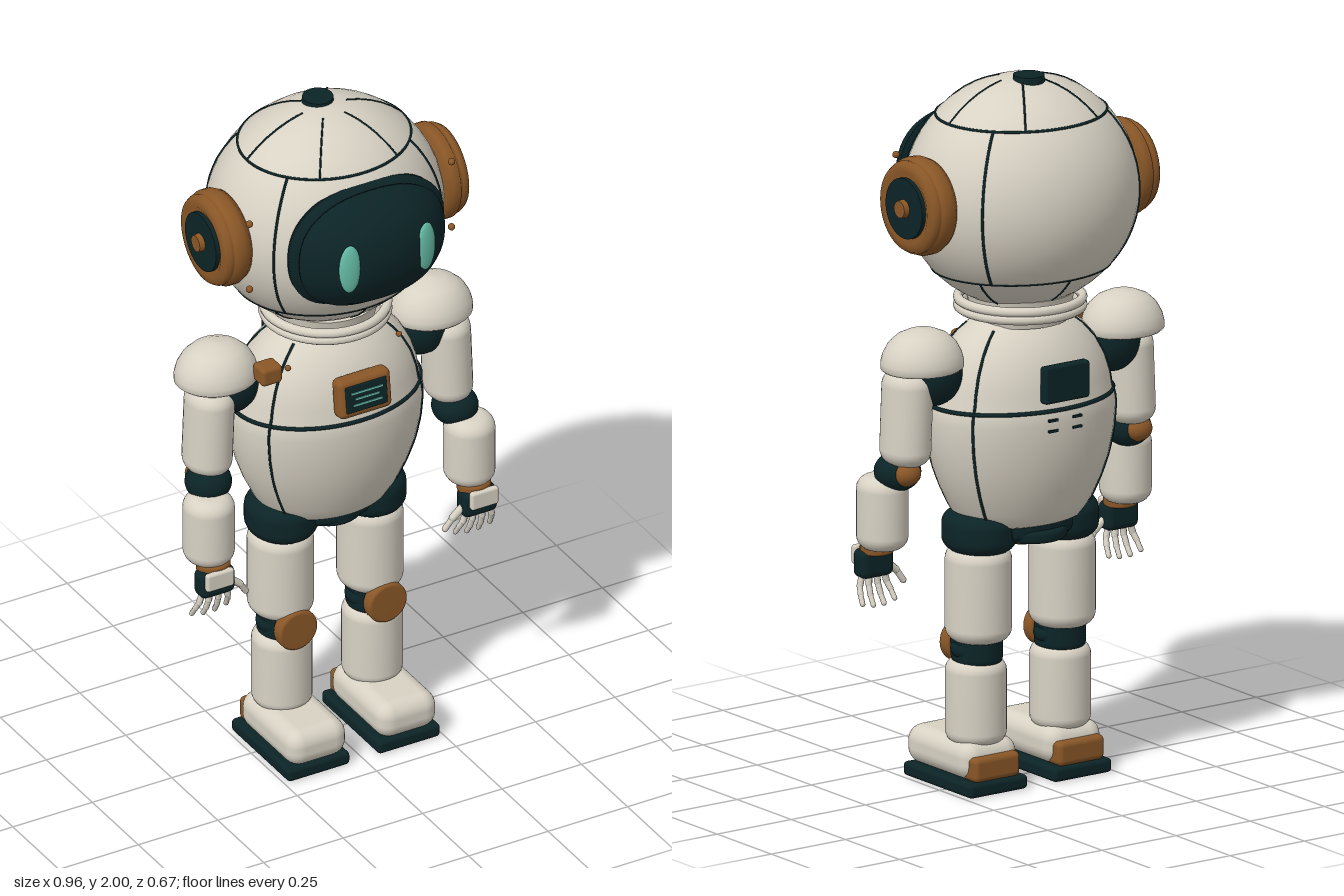
import * as THREE from 'three';
import { RoundedBoxGeometry } from 'three/addons/geometries/RoundedBoxGeometry.js';

const paint = (name, color) => {
  const m = new THREE.MeshStandardMaterial({ color });
  m.name = name;
  return m;
};

export function createModel() {
  const cream = paint('cream shell', 0xd8d2c4);
  const dark = paint('dark teal', 0x0c2427);
  const bronze = paint('bronze', 0x8a5727);
  const mint = paint('mint glow', 0x66bda8);
  const root = new THREE.Group();
  root.name = 'robot';

  const add = (name, geo, mat, x = 0, y = 0, z = 0, parent = root) => {
    const m = new THREE.Mesh(geo, mat);
    m.name = name;
    m.position.set(x, y, z);
    parent.add(m);
    return m;
  };
  const group = (name) => {
    const g = new THREE.Group();
    g.name = name;
    root.add(g);
    return g;
  };
  const v2 = (list) => list.map(([x, y]) => new THREE.Vector2(x, y));
  const lathe = (list, depth = 1, sides = 40) =>
    new THREE.LatheGeometry(v2(list), sides).scale(1, 1, depth);
  const rbox = (w, h, d, r) => new RoundedBoxGeometry(w, h, d, 3, r);
  const ball = (rx, ry, rz) => new THREE.SphereGeometry(1, 28, 18).scale(rx, ry, rz);

  // Cylinder with rounded ends, oval in plan
  const barrel = (rx, rz, h, c) => {
    const pts = [[0, -h / 2]];
    for (let i = 0; i <= 6; i++) {
      const a = (i / 6) * Math.PI / 2;
      pts.push([rx - c + c * Math.sin(a), -h / 2 + c - c * Math.cos(a)]);
    }
    for (const [r, y] of pts.slice().reverse()) pts.push([r, -y]);
    return lathe(pts, rz / rx, 32);
  };
  // Rounded rod between two points
  const rod = (name, a, b, r, mat, parent) => {
    const p = new THREE.Vector3(...a), q = new THREE.Vector3(...b);
    const d = q.clone().sub(p);
    const m = add(name, new THREE.CapsuleGeometry(r, d.length(), 4, 8), mat, 0, 0, 0, parent);
    m.position.copy(p).add(q).multiplyScalar(0.5);
    m.quaternion.setFromUnitVectors(new THREE.Vector3(0, 1, 0), d.normalize());
  };
  // Radius of a lathe profile at a given height
  const radiusAt = (prof, y) => {
    for (let i = 1; i < prof.length; i++) {
      const [r0, y0] = prof[i - 1], [r1, y1] = prof[i];
      if (y >= y0 && y <= y1 && y1 > y0) return r0 + (r1 - r0) * (y - y0) / (y1 - y0);
    }
    return 0;
  };
  // Thin panel line running up a shell at an angle, or around it at a height
  const surface = (prof, depth, zc, zMax) => (a, y) => {
    const r = radiusAt(prof, y);
    return new THREE.Vector3(r * Math.cos(a), y, Math.min(zMax, zc + r * depth * Math.sin(a)));
  };
  const upSeam = (at, deg, y0, y1, r, parent) => {
    const pts = [];
    for (let i = 0; i <= 20; i++) pts.push(at(deg * Math.PI / 180, y0 + (y1 - y0) * i / 20));
    add('panelSeam', new THREE.TubeGeometry(new THREE.CatmullRomCurve3(pts), 32, r, 5), dark, 0, 0, 0, parent);
  };
  const ringSeam = (at, y, r, parent) => {
    const pts = [];
    for (let i = 0; i < 48; i++) pts.push(at(i / 48 * Math.PI * 2, y));
    add('ringSeam', new THREE.TubeGeometry(new THREE.CatmullRomCurve3(pts, true), 96, r, 5, true), dark, 0, 0, 0, parent);
  };

  // Head shell, flattened where the visor sits
  const head = group('head');
  const headProf = [];
  for (let i = 0; i <= 28; i++) {
    const a = -Math.PI / 2 + Math.PI * i / 28;
    headProf.push([0.336 * Math.cos(a), 1.665 + (a < 0 ? 0.318 : 0.327) * Math.sin(a)]);
  }
  const headGeo = lathe(headProf, 0.885, 56).translate(0, 0, -0.035);
  const hp = headGeo.attributes.position;
  for (let i = 0; i < hp.count; i++) hp.setZ(i, Math.min(hp.getZ(i), 0.202));
  add('headShell', headGeo, cream, 0, 0, 0, head);
  const onHead = surface(headProf, 0.885, -0.035, 0.202);
  ringSeam(onHead, 1.89, 0.004, head);
  ringSeam(onHead, 1.46, 0.003, head);
  for (const d of [38, 142, 218, 322]) upSeam(onHead, d, 1.46, 1.89, 0.004, head);
  for (const d of [0, 60, 120, 180, 240, 300]) upSeam(onHead, d, 1.89, 1.985, 0.003, head);
  for (const d of [30, 90, 150, 210, 270, 330]) upSeam(onHead, d, 1.365, 1.46, 0.003, head);
  add('crownButton', new THREE.CylinderGeometry(0.043, 0.045, 0.03, 24), dark, 0, 1.985, -0.07, head);

  // Visor: oval lathe squared off slightly, facing forward
  const visorGeo = lathe([[0, 0.18], [0.24, 0.18], [0.243, 0.198], [0.205, 0.212], [0.2, 0.218],
    [0.224, 0.215], [0.227, 0.225], [0.218, 0.245], [0.19, 0.276], [0.15, 0.303], [0.1, 0.322],
    [0.05, 0.331], [0, 0.333]], 1, 56).rotateX(Math.PI / 2);
  const vp = visorGeo.attributes.position;
  for (let i = 0; i < vp.count; i++) {
    const x = vp.getX(i), y = vp.getY(i), r = Math.hypot(x, y) || 1;
    const k = (Math.abs(x / r) ** 2.4 + Math.abs(y / r) ** 2.4) ** (-1 / 2.4);
    vp.setXY(i, x * k, y * k * 0.76);
  }
  visorGeo.computeVertexNormals();
  add('visor', visorGeo, dark, 0, 1.683, 0, head);

  for (const s of [1, -1]) {
    add('eye', ball(0.031, 0.075, 0.013), mint, s * 0.12, 1.688, 0.312, head).rotation.y = s * 0.2;
    // Ear discs
    const ear = new THREE.Group();
    ear.name = 'ear';
    ear.position.set(s * 0.3, 1.675, -0.03);
    ear.rotation.z = -s * Math.PI / 2;
    head.add(ear);
    add('earRing', lathe([[0, 0], [0.125, 0], [0.137, 0.025], [0.137, 0.05], [0.128, 0.056], [0.128, 0.062],
      [0.13, 0.07], [0.122, 0.083], [0.1, 0.087], [0.088, 0.08], [0, 0.08]]), bronze, 0, 0, 0, ear);
    add('earPlate', new THREE.CylinderGeometry(0.085, 0.085, 0.02, 32), dark, 0, 0.082, 0, ear);
    add('earKnob', new THREE.CylinderGeometry(0.024, 0.028, 0.03, 16), bronze, 0, 0.093, 0, ear);
    for (const y of [1.785, 1.575]) add('headBolt', ball(0.01, 0.01, 0.01), bronze, s * 0.318, y, 0.108, head);
  }

  // Neck
  add('neck', new THREE.CylinderGeometry(0.15, 0.13, 0.08, 32), cream, 0, 1.345, -0.03);
  for (const y of [1.364, 1.342])
    add('neckRing', new THREE.TorusGeometry(0.17, 0.0135, 10, 48).rotateX(Math.PI / 2), cream, 0, y, -0.03);

  // Torso shell with panel lines
  const torso = group('torso');
  const torsoProf = [[0, 0.74], [0.16, 0.74], [0.185, 0.75], [0.213, 0.79], [0.242, 0.85], [0.264, 0.91],
    [0.279, 0.98], [0.285, 1.05], [0.28, 1.085], [0.273, 1.095], [0.266, 1.14], [0.25, 1.19],
    [0.222, 1.24], [0.185, 1.28], [0.145, 1.31], [0.1, 1.33], [0, 1.335]];
  add('torsoShell', lathe(torsoProf, 0.737, 56), cream, 0, 0, -0.03, torso);
  const onTorso = surface(torsoProf, 0.737, -0.03, 1);
  ringSeam(onTorso, 1.09, 0.006, torso);
  for (const d of [32, 148, 212, 328]) upSeam(onTorso, d, 0.76, 1.3, 0.004, torso);

  // Chest display
  const chest = new THREE.Group();
  chest.name = 'chestDisplay';
  chest.position.set(0, 1.178, 0.17);
  chest.rotation.x = -0.12;
  torso.add(chest);
  add('displayFrame', rbox(0.166, 0.118, 0.05, 0.018), bronze, 0, 0, 0, chest);
  add('displayScreen', rbox(0.13, 0.08, 0.008, 0.004), dark, 0, 0, 0.025, chest);
  [[0.018, 0.1], [0, 0.075], [-0.018, 0.09]].forEach(([y, w]) =>
    add('displayLine', new THREE.BoxGeometry(w, 0.005, 0.003), mint, 0, y, 0.03, chest));
  add('shoulderLamp', rbox(0.065, 0.055, 0.06, 0.012), bronze, -0.233, 1.255, 0.06, torso);
  for (const s of [1, -1]) add('chestBolt', ball(0.008, 0.008, 0.008), bronze, s * 0.175, 1.255, 0.07, torso);

  // Back panel and vents
  add('backPanel', rbox(0.15, 0.105, 0.03, 0.008), dark, 0, 1.168, -0.237, torso);
  for (const x of [-0.04, 0.04])
    for (const y of [1.035, 1.065]) add('backVent', new THREE.BoxGeometry(0.03, 0.007, 0.008), dark, x, y, -0.238, torso);

  // Pelvis
  add('pelvis', barrel(0.16, 0.12, 0.06, 0.02), dark, 0, 0.735, -0.04);
  add('pelvisDisc', barrel(0.11, 0.13, 0.035, 0.012), dark, 0, 0.715, -0.05);
  add('pelvisPlug', new THREE.CylinderGeometry(0.07, 0.06, 0.05, 24), bronze, 0, 0.705, -0.04);

  for (const s of [1, -1]) {
    // Arm
    const arm = group(s > 0 ? 'leftArm' : 'rightArm');
    add('shoulderCap', lathe([[0, 1.215], [0.11, 1.215], [0.118, 1.222], [0.118, 1.24], [0.112, 1.263],
      [0.097, 1.29], [0.073, 1.312], [0.04, 1.326], [0, 1.33]], 0.9), cream, s * 0.338, 0, -0.04, arm);
    add('shoulderJoint', ball(0.085, 0.09, 0.08), dark, s * 0.3, 1.195, -0.035, arm);
    add('upperArm', barrel(0.067, 0.078, 0.27, 0.045), cream, s * 0.375, 1.08, -0.018, arm).rotation.z = s * 0.04;
    add('elbow', ball(0.065, 0.055, 0.065), dark, s * 0.388, 0.925, 0.005, arm);
    add('elbowCap', ball(0.04, 0.035, 0.035), bronze, s * 0.39, 0.928, -0.042, arm);
    add('forearm', barrel(0.071, 0.074, 0.21, 0.04), cream, s * 0.41, 0.805, 0.045, arm);
    add('wristRing', barrel(0.048, 0.045, 0.03, 0.008), bronze, s * 0.41, 0.698, 0.07, arm);
    add('palm', rbox(0.108, 0.082, 0.06, 0.02), dark, s * 0.413, 0.656, 0.082, arm);
    add('handPlate', rbox(0.086, 0.055, 0.02, 0.008), cream, s * 0.416, 0.675, 0.115, arm);
    // Fingers of three segments, thumb pointing inward
    for (let i = 0; i < 4; i++) {
      const x = 0.379 + i * 0.024, f = (i - 1.5) * 0.006, drop = i === 0 || i === 3 ? 0.008 : 0;
      const path = [[x, 0.625, 0.082], [x + f, 0.595, 0.08], [x + 1.6 * f, 0.567 + drop, 0.07], [x + 2 * f, 0.542 + drop, 0.055]];
      for (let k = 0; k < 3; k++) {
        const [a, b] = [path[k], path[k + 1]].map((p) => [s * p[0], p[1], p[2]]);
        rod('finger', a, b, 0.0095 - k * 0.001, cream, arm);
      }
    }
    rod('thumb', [s * 0.365, 0.645, 0.085], [s * 0.335, 0.62, 0.085], 0.011, cream, arm);
    rod('thumb', [s * 0.335, 0.62, 0.085], [s * 0.314, 0.588, 0.08], 0.009, cream, arm);

    // Leg
    const leg = group(s > 0 ? 'leftLeg' : 'rightLeg');
    add('hip', barrel(0.1, 0.11, 0.115, 0.04), dark, s * 0.138, 0.727, -0.03, leg);
    add('thigh', barrel(0.091, 0.095, 0.27, 0.04), cream, s * 0.141, 0.55, -0.03, leg);
    add('knee', barrel(0.07, 0.074, 0.1, 0.025), dark, s * 0.14, 0.395, -0.022, leg);
    add('kneeAxle', ball(0.078, 0.042, 0.06), dark, s * 0.14, 0.395, -0.02, leg);
    add('kneeCap', barrel(0.061, 0.061, 0.04, 0.01).rotateX(Math.PI / 2), bronze, s * 0.141, 0.397, 0.052, leg);
    add('shin', barrel(0.084, 0.085, 0.24, 0.035), cream, s * 0.142, 0.245, -0.02, leg);
    add('foot', rbox(0.186, 0.11, 0.3, 0.045), cream, s * 0.142, 0.091, 0.045, leg);
    add('heel', rbox(0.155, 0.07, 0.07, 0.016), bronze, s * 0.142, 0.074, -0.09, leg);
    add('sole', rbox(0.196, 0.04, 0.316, 0.012), dark, s * 0.142, 0.02, 0.028, leg);
  }
  return root;
}
